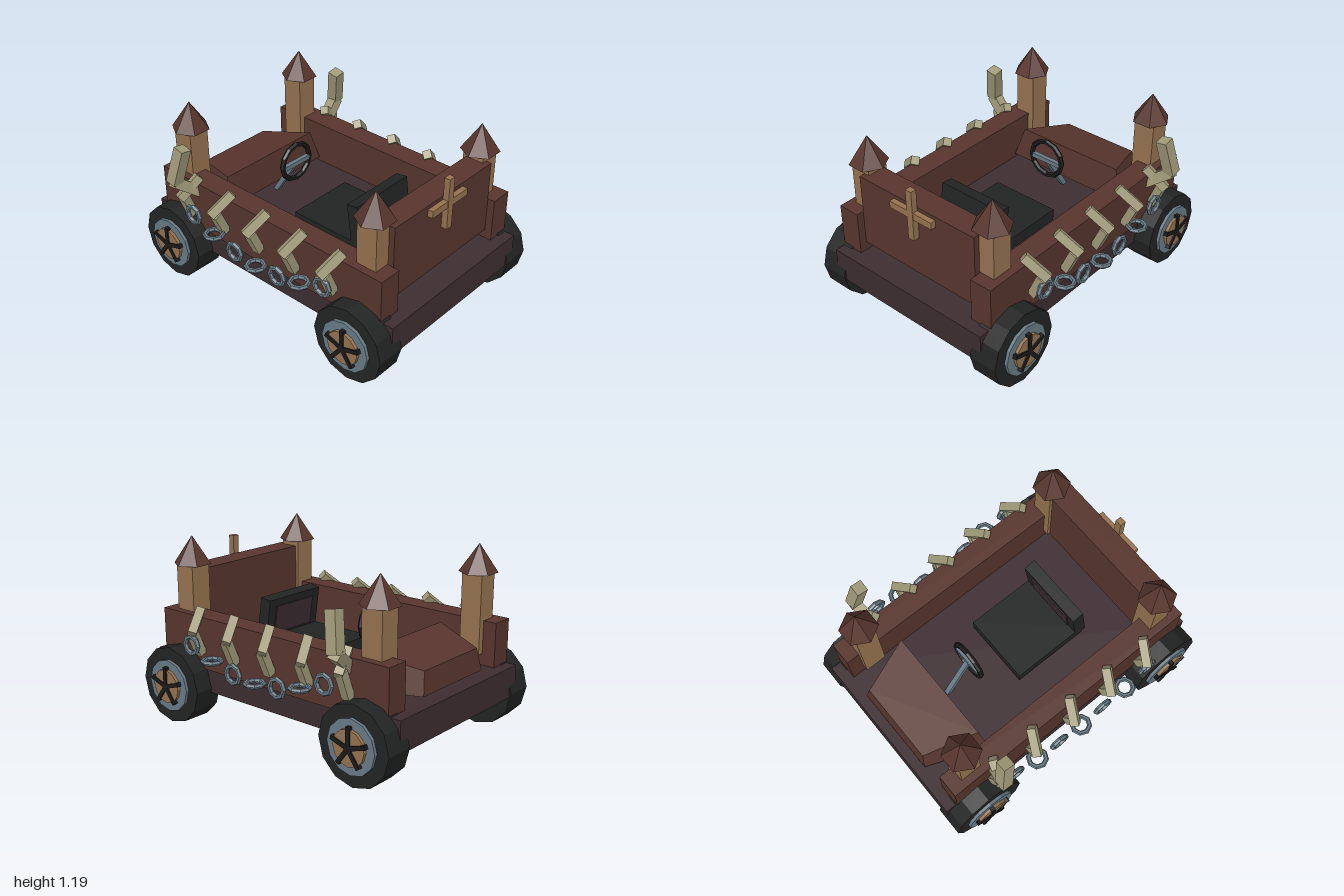
import * as THREE from 'three';

const mat = (name, color) => {
  const m = new THREE.MeshStandardMaterial({ color });
  m.name = name;
  return m;
};

// Faceted normals for low-poly parts
const flat = (g) => {
  const f = g.index ? g.toNonIndexed() : g;
  f.computeVertexNormals();
  return f;
};

export function createModel() {
  const model = new THREE.Group();
  model.name = 'castleCar';
  const brown = mat('redBrownPlank', 0x57352d);
  const dark = mat('darkChassis', 0x3d2d31);
  const wood = mat('lightWood', 0x967350);
  const rubber = mat('tyreRubber', 0x222423);
  const black = mat('blackTrim', 0x1b1b1b);
  const steel = mat('blueSteel', 0x687b86);
  const bone = mat('bone', 0xa09a79);

  const add = (name, geo, material, x = 0, y = 0, z = 0, parent = model) => {
    const m = new THREE.Mesh(geo, material);
    m.name = name;
    m.position.set(x, y, z);
    parent.add(m);
    return m;
  };
  // Box given by its limits
  const box = (name, material, x0, x1, y0, y1, z0, z1, parent) =>
    add(name, new THREE.BoxGeometry(x1 - x0, y1 - y0, z1 - z0), material,
      (x0 + x1) / 2, (y0 + y1) / 2, (z0 + z1) / 2, parent);
  // Square bar between two points
  const bar = (name, material, a, b, w, parent) => {
    const p = new THREE.Vector3(...a), q = new THREE.Vector3(...b);
    const d = q.clone().sub(p);
    const m = add(name, new THREE.BoxGeometry(w, d.length(), w), material, 0, 0, 0, parent);
    m.position.copy(p).add(q).multiplyScalar(0.5);
    m.quaternion.setFromUnitVectors(new THREE.Vector3(0, 1, 0), d.normalize());
    return m;
  };

  // Body
  box('chassis', dark, -0.6, 0.6, 0.225, 0.425, -0.985, 0.985);
  box('endPanel', brown, -0.455, 0.455, 0.488, 0.97, 0.7, 0.86);
  box('crossUpright', wood, -0.023, 0.023, 0.755, 1.092, 0.86, 0.9);
  box('crossArm', wood, -0.165, 0.165, 0.902, 0.948, 0.862, 0.897);

  // Sloping hood with tapered sides
  const hood = new THREE.BoxGeometry(2, 2, 2);
  const hp = hood.attributes.position;
  for (let i = 0; i < hp.count; i++) {
    const top = hp.getY(i) > 0, inner = hp.getZ(i) > 0, s = Math.sign(hp.getX(i));
    const [x, y, z] = top
      ? (inner ? [0.385, 0.67, -0.555] : [0.27, 0.6, -0.9])
      : (inner ? [0.452, 0.457, -0.53] : [0.3, 0.457, -0.92]);
    hp.setXYZ(i, s * x, y, z);
  }
  add('hood', flat(hood), brown);

  // Seat
  box('seatCushion', rubber, -0.235, 0.235, 0.45, 0.53, -0.105, 0.42);
  const back = new THREE.Group();
  back.name = 'seatBack';
  back.position.set(0, 0.625, 0.385);
  back.rotation.x = -0.14;
  model.add(back);
  box('backrest', rubber, -0.235, 0.235, -0.16, 0.16, -0.04, 0.04, back);
  box('backrestPanel', dark, -0.17, 0.17, -0.075, 0.11, -0.047, -0.039, back);

  // Steering wheel
  add('steeringRing', flat(new THREE.TorusGeometry(0.122, 0.018, 6, 12)), black, 0, 0.71, -0.32);
  box('steeringSpoke', steel, -0.11, 0.11, 0.685, 0.715, -0.335, -0.305);
  bar('steeringColumn', steel, [0, 0.7, -0.325], [0, 0.42, -0.505], 0.032);

  // Corner towers
  const roofGeo = flat(new THREE.ConeGeometry(0.122, 0.18, 6).rotateY(Math.PI / 6));
  for (const x of [-0.49, 0.49]) for (const z of [-0.75, 0.75]) {
    box('tower', wood, x - 0.071, x + 0.071, 0.5, 1.005, z - 0.071, z + 0.071);
    add('towerRoof', roofGeo, brown, x, 1.095, z);
  }

  // Wheels
  const disc = (r, x0, x1, n) => flat(
    new THREE.CylinderGeometry(r, r, x1 - x0, n).rotateZ(-Math.PI / 2).translate((x0 + x1) / 2, 0, 0));
  const tyreGeo = disc(0.25, -0.095, 0.095, 12);
  const rimGeo = disc(0.17, 0.09, 0.115, 12);
  const hubGeo = disc(0.112, 0.1, 0.135, 12);
  for (const s of [-1, 1]) for (const z of [-0.75, 0.75]) {
    const wheel = new THREE.Group();
    wheel.name = 'wheel';
    wheel.position.set(s * 0.625, 0.25, z);
    if (s < 0) wheel.rotation.y = Math.PI;
    model.add(wheel);
    add('tyre', tyreGeo, rubber, 0, 0, 0, wheel);
    add('rim', rimGeo, steel, 0, 0, 0, wheel);
    add('hub', hubGeo, wood, 0, 0, 0, wheel);
    for (let i = 0; i < 5; i++) {
      const a = Math.PI / 2 + i * Math.PI * 2 / 5;
      bar('spoke', black, [0.13, 0, 0],
        [0.13, 0.128 * Math.sin(a), 0.128 * Math.cos(a)], 0.027, wheel);
    }
  }

  // Side walls, ribs and chains
  const linkGeo = flat(new THREE.TorusGeometry(0.056, 0.016, 6, 8));
  const links = [[0.55, 0.555], [0.37, 0.49], [0.19, 0.445], [0.01, 0.43],
    [-0.17, 0.445], [-0.35, 0.49], [-0.53, 0.555]];
  for (const s of [-1, 1]) {
    const inner = s * 0.46, outer = s * 0.61;
    box('sideWall', brown, Math.min(inner, outer), Math.max(inner, outer), 0.375, 0.712, -0.91, 0.905);

    for (const z of [0.555, 0.257, -0.04, -0.34]) {
      bar('ribUpper', bone, [s * 0.58, 0.75, z + 0.04], [s * 0.715, 0.63, z - 0.02], 0.055);
      bar('ribLower', bone, [s * 0.69, 0.63, z], [s * 0.625, 0.48, z], 0.055);
    }
    // Raised arm at the hood end
    bar('armLower', bone, [s * 0.69, 0.65, -0.64], [s * 0.625, 0.48, -0.64], 0.055);
    bar('armMiddle', bone, [s * 0.59, 0.645, -0.61], [s * 0.745, 0.765, -0.645], 0.07);
    bar('armElbow', bone, [s * 0.58, 0.75, -0.6], [s * 0.715, 0.63, -0.64], 0.055);
    bar('armUpper', bone, [s * 0.74, 0.76, -0.645], [s * 0.695, 1.0, -0.595], 0.075);

    links.forEach(([z, y], i) => {
      const link = add('chainLink', linkGeo, steel, s * 0.705, y, z);
      if (i % 2) link.rotation.x = Math.PI / 2;
      else link.rotation.y = Math.PI / 2;
    });
  }
  return model;
}
